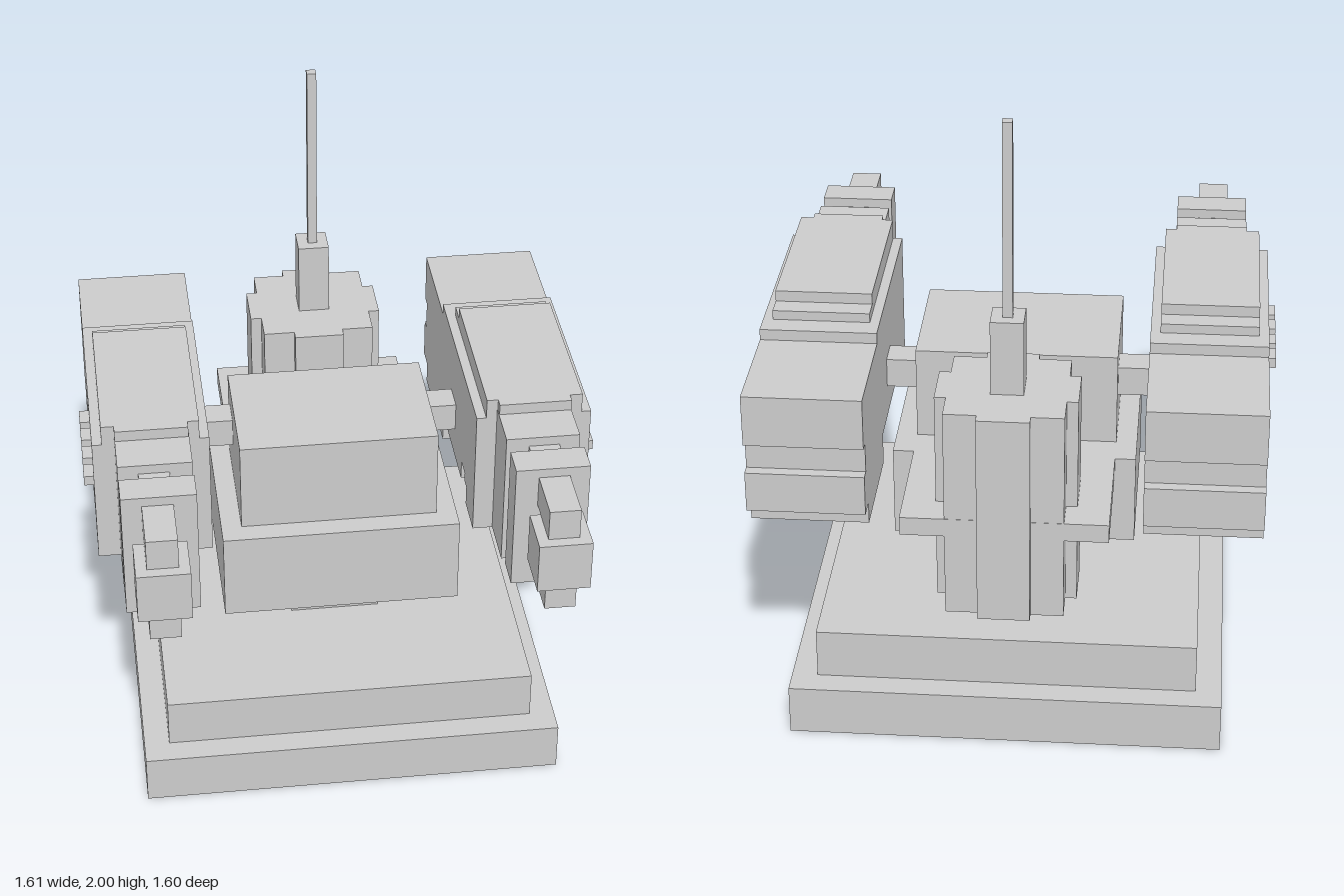
import * as THREE from 'three';

const material = new THREE.MeshStandardMaterial({ color: 0xcccccc, flatShading: true });

// Box given by its limits on each axis
function box(parent, name, [x0, x1], [y0, y1], [z0, z1]) {
  const mesh = new THREE.Mesh(new THREE.BoxGeometry(x1 - x0, y1 - y0, z1 - z0), material);
  mesh.position.set((x0 + x1) / 2, (y0 + y1) / 2, (z0 + z1) / 2);
  mesh.name = name;
  parent.add(mesh);
}

// Points are [z, y]; the shape is extruded along x
const toPoints = (list) => list.map(([z, y]) => new THREE.Vector2(-z, y));

function sidePlate(parent, name, outline, hole, x0, x1) {
  const shape = new THREE.Shape(toPoints(outline));
  if (hole) shape.holes.push(new THREE.Path(toPoints(hole)));
  const geometry = new THREE.ExtrudeGeometry(shape, { depth: x1 - x0, bevelEnabled: false });
  geometry.rotateY(Math.PI / 2).translate(x0, 0, 0);
  const mesh = new THREE.Mesh(geometry, material);
  mesh.name = name;
  parent.add(mesh);
}

// Side outline of the arm housing, with hooked cut below and slot at the rear
const housing = [
  [0.26, 0.785], [0.125, 0.785], [0.125, 0.85], [0.09, 0.85], [0.09, 0.88], [0.025, 0.88],
  [0.025, 0.815], [-0.34, 0.815], [-0.34, 0.715], [-0.7, 0.715], [-0.7, 0.785], [-0.77, 0.785],
  [-0.77, 0.915], [-0.735, 0.915], [-0.735, 1.01], [-0.77, 1.01], [-0.77, 1.175],
  [-0.41, 1.175], [-0.41, 1.21], [0.26, 1.21],
];
const panelHole = [[0.225, 0.945], [0.225, 1.11], [-0.24, 1.11], [-0.24, 0.945]];

function createArm(side) {
  const arm = new THREE.Group();
  arm.name = side > 0 ? 'leftArm' : 'rightArm';
  const span = (a, b) => (side > 0 ? [a, b] : [-b, -a]);
  const part = (name, x, y, z) => box(arm, name, span(...x), y, z);

  sidePlate(arm, 'armHousing', housing, null, ...span(0.415, 0.745));
  sidePlate(arm, 'armOuterPlate', housing, panelHole, ...span(0.745, 0.775));

  // Stepped cap on top
  part('topCapLower', [0.445, 0.745], [1.2, 1.24], [-0.34, 0.26]);
  part('topCapUpper', [0.445, 0.745], [1.24, 1.275], [-0.275, 0.26]);
  part('topCapNose', [0.48, 0.705], [1.24, 1.275], [0.26, 0.29]);

  // Side vents in the recessed panel
  part('ventPanel', [0.74, 0.76], [0.975, 1.08], [-0.2, 0.2]);
  for (let i = 0; i < 4; i++) {
    const z = 0.157 - i * 0.099;
    part('vent', [0.75, 0.805], [1.012, 1.045], [z - 0.033, z + 0.033]);
  }

  // Front block, collar and barrels
  part('frontBlock', [0.478, 0.705], [0.785, 1.24], [0.255, 0.425]);
  part('barrelCollar', [0.478, 0.705], [0.815, 1.24], [0.49, 0.59]);
  part('upperBarrel', [0.548, 0.643], [1.11, 1.21], [0.42, 0.765]);
  part('lowerBarrel', [0.548, 0.643], [0.848, 0.945], [0.42, 0.765]);
  part('middleBarrel', [0.54, 0.67], [0.985, 1.07], [0.42, 0.65]);
  part('muzzle', [0.515, 0.677], [0.945, 1.11], [0.64, 0.8]);

  // Shoulder bar joining the arm to the body
  part('shoulderBar', [0.31, 0.42], [0.915, 1.01], [-0.205, -0.11]);
  return arm;
}

export function createModel() {
  const model = new THREE.Group();
  model.name = 'turret';
  const centred = (name, w, y, z) => box(model, name, [-w, w], y, z);

  // Stepped base and neck
  centred('baseLower', 0.67, [0, 0.16], [-0.8, 0.54]);
  centred('baseUpper', 0.59, [0.16, 0.32], [-0.72, 0.46]);
  centred('neck', 0.145, [0.32, 0.485], [-0.27, 0.03]);

  // Body
  centred('bodyLower', 0.38, [0.485, 0.78], [-0.375, 0.225]);
  centred('bodyUpper', 0.315, [0.78, 1.08], [-0.27, 0.155]);
  centred('rearBracket', 0.315, [0.72, 0.78], [-0.768, -0.37]);

  // Rear drum with a stepped round section, extruded upward
  const quarter = [[0.215, 0.08], [0.18, 0.08], [0.18, 0.18], [0.08, 0.18], [0.08, 0.213]];
  const ring = [
    ...quarter,
    ...quarter.map(([x, z]) => [-x, z]).reverse(),
    ...quarter.map(([x, z]) => [-x, -z]),
    ...quarter.map(([x, z]) => [x, -z]).reverse(),
  ].map(([x, z]) => new THREE.Vector2(x, z));
  const drumGeometry = new THREE.ExtrudeGeometry(new THREE.Shape(ring), { depth: 0.69, bevelEnabled: false });
  drumGeometry.rotateX(-Math.PI / 2).translate(0, 0.45, -0.587);
  const drum = new THREE.Mesh(drumGeometry, material);
  drum.name = 'rearDrum';
  model.add(drum);

  // Antenna
  centred('antennaBase', 0.05, [1.13, 1.38], [-0.637, -0.537]);
  centred('antennaRod', 0.015, [1.38, 2], [-0.602, -0.572]);

  for (const side of [1, -1]) model.add(createArm(side));
  return model;
}
